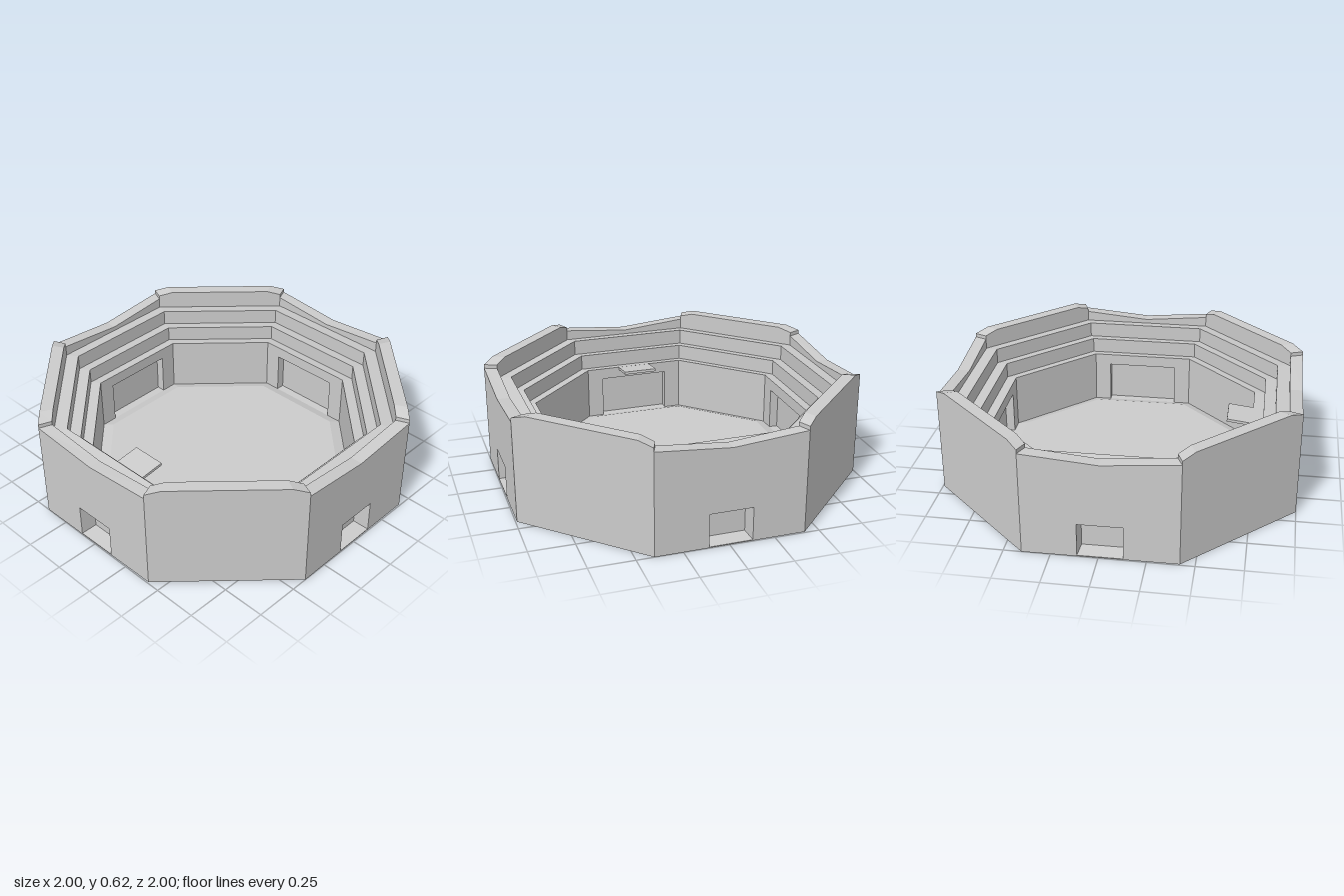
import * as THREE from 'three';

const TAN = Math.tan(Math.PI / 8);
const OUT = 0.996, RIM = 0.925, PIT = 0.727;
const BASE = 0.058, FLOOR = 0.078, LEDGE = 0.37;
const GATE = { w: 0.12, y0: 0.005, y1: 0.192 };     // outside niche
const DOOR = { w: 0.207, y0: BASE, y1: 0.303 };     // inside niche

// rim height along one side (u runs -1..1 across the side)
const DIP = [[-1, 0.58], [0, 0.545], [1, 0.58]];
const RAISED = [[-1, 0.602], [-0.79, 0.625], [0.79, 0.625], [1, 0.602]];

// terrace profile [radius, height]; treads fall slightly outward
const STEPS = [[PIT, LEDGE], [0.787, 0.361], [0.787, 0.45], [0.852, 0.441], [0.852, 0.53], [RIM, 0.52]];

export function createModel() {
  const model = new THREE.Group();
  const material = new THREE.MeshStandardMaterial({ color: 0xcccccc, flatShading: true });
  const parts = {};
  const up = new THREE.Vector3(0, 1, 0);
  let angle = 0;

  // quads between two polylines of [along, height, outward], turned to the current side
  const strip = (name, a, b) => {
    const out = (parts[name] ??= []);
    const put = (...ps) => ps.forEach((p) => out.push(...new THREE.Vector3(...p).applyAxisAngle(up, angle)));
    for (let i = 0; i < a.length - 1; i++) {
      put(a[i], a[i + 1], b[i + 1]);
      put(a[i], b[i + 1], b[i]);
    }
  };
  const across = (y, r) => [[-r * TAN, y, r], [r * TAN, y, r]];
  const crest = (heights, r) => heights.map(([u, y]) => [u * r * TAN, y, r]);

  // lower outline of a wall that steps up over an opening
  const notched = (r, { w, y0, y1 }) => [
    [-r * TAN, y0, r], [-w, y0, r], [-w, y1, r], [0, y1, r],
    [w, y1, r], [w, y0, r], [r * TAN, y0, r]];

  // sides of a niche at one radius; inset narrows the inner end
  const nicheLoop = ({ w, y0, y1 }, r, inset) => [
    [-w + inset, y0 + inset, r], [-w + inset, y1 - inset, r],
    [w - inset, y1 - inset, r], [w - inset, y0 + inset, r], [-w + inset, y0 + inset, r]];

  for (let i = 0; i < 8; i++) {
    angle = i * Math.PI / 4;
    const gated = i % 2 === 0;
    const top = gated ? DIP : RAISED;

    // rim cap and the wall below its inner edge
    strip('rim', crest(top, OUT), crest(top, RIM));
    strip('rim', crest(top, RIM), top.map(([u]) => [u * RIM * TAN, 0.52, RIM]));

    // seating terraces
    for (let k = 0; k < STEPS.length - 1; k++) {
      const [r0, y0] = STEPS[k], [r1, y1] = STEPS[k + 1];
      strip('terraces', across(y1, r1), across(y0, r0));
    }
    // arena floor edge falling toward the pit wall
    strip('floorEdge', across(BASE, PIT), across(FLOOR, 0.665));

    if (gated) {
      // outer wall, its sill strip and the shallow tapering gate niche
      const low = notched(OUT, GATE);
      const high = low.map(([x]) => [x, 0.545 + 0.035 * Math.abs(x) / (OUT * TAN), OUT]);
      strip('outerWall', low, high);
      strip('outerWall', across(0, OUT), across(GATE.y0, OUT));
      const back = nicheLoop(GATE, OUT - 0.092, 0.009);
      strip('gateNiche', back, nicheLoop(GATE, OUT, 0));
      strip('gateNiche', [back[0], back[3]], [back[1], back[2]]);

      // pit wall and its wide door niche
      const inner = notched(PIT, DOOR);
      strip('pitWall', inner.map(([x]) => [x, LEDGE, PIT]), inner);
      const deep = nicheLoop(DOOR, PIT + 0.05, 0);
      strip('doorNiche', nicheLoop(DOOR, PIT, 0), deep);
      strip('doorNiche', [deep[1], deep[2]], [deep[0], deep[3]]);
    } else {
      strip('outerWall', top.map(([u]) => [u * OUT * TAN, 0, OUT]), crest(top, OUT));
      strip('pitWall', across(LEDGE, PIT), across(BASE, PIT));
      // short end faces where the raised rim meets the dipped one
      for (const s of [-1, 1]) {
        const end = (y) => {
          const p = [[s * OUT * TAN, y, OUT], [s * RIM * TAN, y, RIM]];
          return s > 0 ? p : p.reverse();
        };
        strip('rim', end(0.58), end(0.602));
      }
    }
  }

  for (const [name, points] of Object.entries(parts)) {
    const geometry = new THREE.BufferGeometry();
    geometry.setAttribute('position', new THREE.Float32BufferAttribute(points, 3));
    geometry.computeVertexNormals();
    const mesh = new THREE.Mesh(geometry, material);
    mesh.name = name;
    model.add(mesh);
  }

  // arena floor and underside
  const octagon = (name, apothem, y, tilt) => {
    const geometry = new THREE.CircleGeometry(apothem / Math.cos(Math.PI / 8), 8, Math.PI / 8);
    const mesh = new THREE.Mesh(geometry.rotateX(tilt), material);
    mesh.position.y = y;
    mesh.name = name;
    model.add(mesh);
  };
  octagon('arenaFloor', 0.665, FLOOR, -Math.PI / 2);
  octagon('underside', OUT, 0, Math.PI / 2);

  // viewing platform jutting from the lowest terrace at the front
  const platform = new THREE.Mesh(new THREE.BoxGeometry(0.2, 0.016, 0.145), material);
  platform.position.set(0, 0.37, 0.656);
  platform.rotation.x = 0.12;
  platform.name = 'platform';
  model.add(platform);

  // the whole octagon sits very slightly turned
  model.rotation.y = 0.009;
  model.name = 'arena';
  return model;
}
